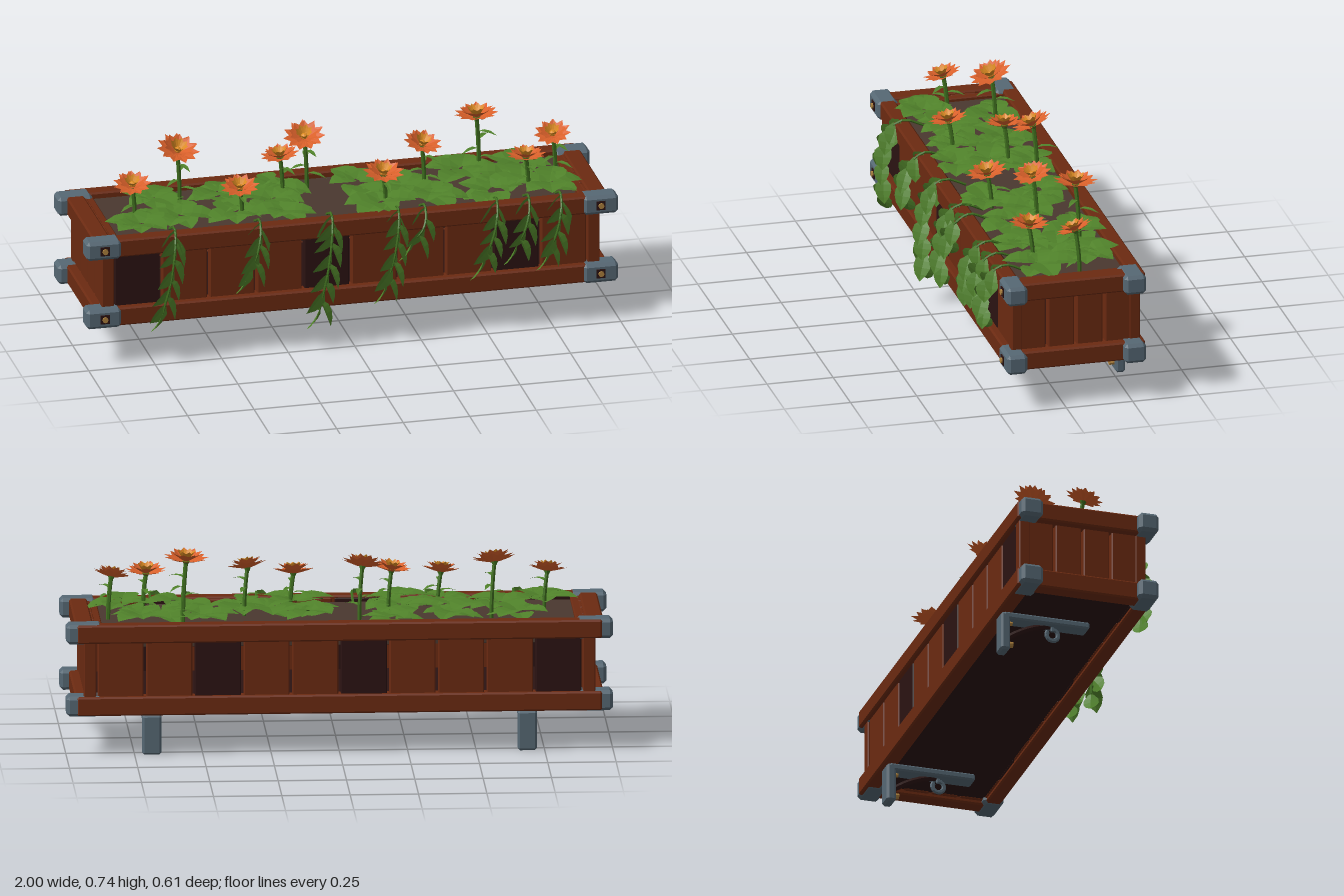
import * as THREE from 'three';
import { mergeGeometries } from 'three/addons/utils/BufferGeometryUtils.js';
import { ConvexGeometry } from 'three/addons/geometries/ConvexGeometry.js';

const V = (x, y, z) => new THREE.Vector3(x, y, z);

function material(name, color, open = false) {
  const m = new THREE.MeshStandardMaterial({ color, flatShading: true });
  m.name = name;
  if (open) m.side = THREE.DoubleSide;
  return m;
}

// Box between two corners with all edges cut at 45 degrees
function chamferBox(x0, x1, y0, y1, z0, z1, c) {
  const h = [(x1 - x0) / 2, (y1 - y0) / 2, (z1 - z0) / 2], pts = [];
  for (const sx of [-1, 1]) for (const sy of [-1, 1]) for (const sz of [-1, 1])
    for (let a = 0; a < 3; a++) {
      const k = h.map((v, i) => (i === a ? v : v - c));
      pts.push(V(sx * k[0], sy * k[1], sz * k[2]));
    }
  const g = new ConvexGeometry(pts);
  g.translate((x0 + x1) / 2, (y0 + y1) / 2, (z0 + z1) / 2);
  return g;
}

// Folded, curling leaf or petal added to a triangle list
function blade(out, o, dir, up, len, wid, profile, bend, fold) {
  const d = dir.clone().normalize();
  const side = d.clone().cross(up).normalize();
  const n = side.clone().cross(d);
  const rows = profile.map((p, i) => {
    const t = i / (profile.length - 1);
    const c = o.clone().addScaledVector(d, len * t).addScaledVector(n, -bend * len * t * t);
    const edge = (s) => c.clone().addScaledVector(side, s * wid * p / 2).addScaledVector(n, fold * wid * p);
    return [edge(-1), c, edge(1)];
  });
  const tri = (a, b, c) => {
    if (b.clone().sub(a).cross(c.clone().sub(a)).length() > 1e-9)
      for (const v of [a, b, c]) out.push(v.x, v.y, v.z);
  };
  for (let i = 0; i + 1 < rows.length; i++) for (let j = 0; j < 2; j++) {
    const a = rows[i], b = rows[i + 1];
    tri(a[j], a[j + 1], b[j]);
    tri(a[j + 1], b[j + 1], b[j]);
  }
}

function fromTriangles(list) {
  const g = new THREE.BufferGeometry();
  g.setAttribute('position', new THREE.Float32BufferAttribute(list, 3));
  g.computeVertexNormals();
  return g;
}

const PETAL = [0.35, 0.9, 1, 0];
const BROAD = [0.3, 0.95, 1, 0.7, 0];
const SLIM = [0.15, 0.9, 0.8, 0];

export function createModel() {
  const model = new THREE.Group();
  model.name = 'flowerBox';
  const wood = material('redWood', 0x6b2a11), dark = material('darkWood', 0x2b1312);
  const iron = material('iron', 0x566874), brass = material('brass', 0xb0833f);
  const soil = material('soil', 0x4a382f);
  const leaf = material('leafGreen', 0x50822a, true), stem = material('stemGreen', 0x40701f);
  const orange = material('orangePetal', 0xd9602a, true), amber = material('amberPetal', 0xde8c22, true);

  let seed = 7;
  const rnd = (a, b) => {
    seed = (seed * 16807) % 2147483647;
    return a + (b - a) * seed / 2147483647;
  };
  const add = (name, geo, mat, parent = model) => {
    const m = new THREE.Mesh(geo, mat);
    m.name = name;
    parent.add(m);
    return m;
  };
  const box = (name, mat, x0, x1, y0, y1, z0, z1, c = 0.006, parent = model) =>
    add(name, chamferBox(x0, x1, y0, y1, z0, z1, c), mat, parent);
  const bolt = (x, y, z, r, len, parent = model) => {
    const g = new THREE.CylinderGeometry(r, r, len, 8);
    g.rotateX(Math.PI / 2).translate(x, y, z);
    add('bolt', g, brass, parent);
  };

  // Long slats, some of them dark
  for (let i = 0; i < 10; i++) {
    const x = -0.89 + i * 0.178, y0 = 0.165, y1 = 0.48;
    box('frontSlat', [0, 4, 8].includes(i) ? dark : wood, x + 0.005, x + 0.173, y0, y1, 0.15, 0.185, 0.004);
    box('backSlat', [0, 4, 7].includes(i) ? dark : wood, x + 0.005, x + 0.173, y0, y1, -0.29, -0.255, 0.004);
  }

  // Rails, end slats, posts and iron corners
  for (const [y0, y1] of [[0.15, 0.22], [0.42, 0.488]]) {
    box('frontRail', wood, -0.96, 0.96, y0, y1, 0.155, 0.212);
    box('backRail', wood, -0.96, 0.96, y0, y1, -0.308, -0.25);
    for (const s of [-1, 1]) {
      const xs = (a, b) => (s > 0 ? [a, b] : [-b, -a]);
      box('endRail', wood, ...xs(0.9, 0.966), y0, y1, -0.27, 0.18);
      box('frontCorner', iron, ...xs(0.868, 1), y0 - 0.003, y1 + 0.002, 0.145, 0.222, 0.012);
      box('backCorner', iron, ...xs(0.868, 1), y0 - 0.003, y1 + 0.002, -0.304, -0.222, 0.012);
      const washer = new THREE.BoxGeometry(0.034, 0.034, 0.006);
      add('washer', washer.translate(s * 0.932, (y0 + y1) / 2, 0.223), dark);
      bolt(s * 0.932, (y0 + y1) / 2, 0.226, 0.011, 0.012);
    }
  }
  for (const s of [-1, 1]) {
    const xs = (a, b) => (s > 0 ? [a, b] : [-b, -a]);
    for (let i = 0; i < 4; i++) {
      const z = 0.163 - i * 0.1075;
      box('endSlat', wood, ...xs(0.89, 0.932), 0.165, 0.48, z - 0.1025, z - 0.005, 0.004);
    }
    box('endLedge', wood, ...xs(0.866, 0.9), 0.425, 0.478, -0.255, 0.155, 0.004);
    for (const z of [0.15, -0.295])
      box('cornerPost', wood, ...xs(0.89, 0.936), 0.165, 0.48, z, z + 0.04, 0.004);
  }
  box('floor', dark, -0.9, 0.9, 0.17, 0.215, -0.26, 0.16, 0.002);
  box('soilBed', soil, -0.87, 0.87, 0.395, 0.465, -0.256, 0.156, 0.002);

  // Wall brackets with curved brace and hook
  for (const x of [-0.687, 0.687]) {
    const g = new THREE.Group();
    g.name = 'bracket';
    model.add(g);
    box('bracketArm', iron, x - 0.035, x + 0.035, 0.124, 0.15, -0.285, 0.043, 0.006, g);
    box('wallPlate', iron, x - 0.035, x + 0.035, 0, 0.148, -0.296, -0.26, 0.008, g);
    const arc = new THREE.QuadraticBezierCurve3(V(x, 0.128, -0.1), V(x, 0.115, -0.19), V(x, 0.055, -0.268));
    add('brace', new THREE.TubeGeometry(arc, 8, 0.011, 6), dark, g);
    const ring = new THREE.TorusGeometry(0.022, 0.009, 6, 12, Math.PI * 1.7);
    ring.rotateZ(Math.PI * 0.5).rotateY(Math.PI / 2).translate(x, 0.094, -0.09);
    add('hook', ring, iron, g);
    const shank = new THREE.CylinderGeometry(0.008, 0.008, 0.025, 6);
    add('hookShank', shank.translate(x, 0.121, -0.09), iron, g);
    bolt(x, 0.033, -0.252, 0.012, 0.02, g);
    bolt(x, 0.118, -0.252, 0.008, 0.016, g);
  }

  // Ground foliage in rosettes
  const ground = [];
  const clumps = [[-0.76, 0.08], [-0.66, -0.15], [-0.6, 0.03], [-0.42, -0.14], [-0.4, 0.06], [-0.24, -0.03],
    [-0.22, 0.09], [-0.2, -0.19], [0.1, -0.13], [0.14, 0.07], [0.25, -0.05], [0.34, 0.04], [0.5, -0.16],
    [0.56, 0.06], [0.64, -0.06], [0.72, -0.15], [0.78, 0.05]];
  for (const [x, z] of clumps) {
    const turn = rnd(0, 6);
    for (let i = 0; i < 7; i++) {
      const a = turn + i * 0.9 + rnd(-0.2, 0.2);
      let len = rnd(0.09, 0.135);
      const dx = Math.cos(a), dz = Math.sin(a);
      if (dz < 0) len = Math.min(len, Math.max(0.04, (z + 0.258) / -dz));
      else len = Math.min(len, Math.max(0.05, (0.17 - z) / (dz + 0.01)));
      blade(ground, V(x + dx * 0.01, 0.475 + rnd(0, 0.025), z + dz * 0.01),
        V(dx, rnd(0.15, 0.4), dz), V(0, 1, 0), len, Math.min(0.115, len * 0.9 + 0.01), BROAD, 0.3, 0.08);
    }
  }
  add('groundLeaves', fromTriangles(ground), leaf);

  // Vines trailing over the front rail: x, lowest y
  const vines = [[-0.69, 0.1], [-0.37, 0.22], [-0.1, 0.06], [0.15, 0.13], [0.25, 0.3], [0.52, 0.2], [0.64, 0.24], [0.76, 0.2]];
  for (const [x, low] of vines) {
    const g = new THREE.Group();
    g.name = 'vine';
    model.add(g);
    const end = low + 0.09;
    const path = new THREE.CatmullRomCurve3([V(x + 0.03, 0.47, 0.1), V(x + 0.03, 0.5, 0.18), V(x + 0.02, 0.46, 0.235),
      V(x, (0.46 + end) / 2, 0.25), V(x - 0.03, end, 0.235)]);
    add('vineStem', new THREE.TubeGeometry(path, 14, 0.005, 5), stem, g);
    const list = [], n = Math.round((0.5 - end) / 0.032) + 1;
    for (let i = 0; i <= n; i++) {
      const s = i % 2 ? 1 : -1, last = i === n;
      const p = path.getPoint(0.3 + 0.7 * i / n);
      const dir = last ? V(-0.35, -1, -0.1) : V(s * 0.55 - 0.1, -0.85, rnd(0.1, 0.5));
      blade(list, p, dir, V(s > 0 ? 0.8 : 0.9, 0.45, 0.45), rnd(0.08, 0.1), rnd(0.055, 0.07), BROAD, 0.2, 0.12);
    }
    add('vineLeaves', fromTriangles(list), leaf, g);
  }

  // Flowers: x, height, z, radius, forward tilt, sideways tilt
  const flowers = [[-0.775, 0.605, 0.0, 0.068, 0.25, 0.1], [-0.575, 0.67, -0.13, 0.078, 0.4, -0.1],
    [-0.39, 0.588, 0.08, 0.07, 0.15, 0.1], [-0.2, 0.63, -0.08, 0.07, -0.05, 0.15], [-0.09, 0.665, -0.16, 0.075, 0.35, 0.15],
    [0.15, 0.59, 0.075, 0.075, 0.2, 0], [0.325, 0.64, -0.05, 0.07, 0.3, -0.15], [0.555, 0.688, -0.15, 0.08, -0.05, 0.05],
    [0.69, 0.598, 0.06, 0.072, -0.05, 0], [0.825, 0.62, -0.08, 0.066, 0.3, 0.2]];
  const rings = [['outerPetals', orange, 11, 1, 0.2], ['middlePetals', orange, 9, 0.82, 0.5], ['innerPetals', amber, 8, 0.58, 0.85]];
  for (const [x, y, z, r, tilt, lean] of flowers) {
    const g = new THREE.Group();
    g.name = 'flower';
    model.add(g);
    const path = new THREE.QuadraticBezierCurve3(V(x + 0.012, 0.46, z - 0.012), V(x + 0.012, (y + 0.46) / 2, z - 0.012), V(x, y, z));
    add('flowerStem', new THREE.TubeGeometry(path, 5, 0.008, 6), stem, g);
    const leaves = [];
    for (let i = 0; i < 4; i++) {
      const a = rnd(0, 1) + i * 2.3;
      blade(leaves, path.getPoint(0.3 + 0.15 * i), V(Math.cos(a), 0.5, Math.sin(a)), V(0, 1, 0),
        rnd(0.06, 0.08), 0.024, SLIM, 0.55, 0.12);
    }
    add('stemLeaves', fromTriangles(leaves), leaf, g);
    const head = new THREE.Group();
    head.name = 'bloom';
    head.position.set(x, y, z);
    head.rotation.set(tilt, rnd(0, 0.5), lean);
    g.add(head);
    rings.forEach(([name, mat, n, scale, rise], k) => {
      const list = [];
      for (let i = 0; i < n; i++) {
        const a = (i + k * 0.5) / n * Math.PI * 2;
        blade(list, V(Math.cos(a) * 0.006, 0.004 * k, Math.sin(a) * 0.006),
          V(Math.cos(a) * Math.cos(rise), Math.sin(rise), Math.sin(a) * Math.cos(rise)), V(0, 1, 0),
          r * scale, r * 0.42 * (k === 2 ? 0.8 : 1), PETAL, -0.08, 0.1);
      }
      add(name, fromTriangles(list), mat, head);
    });
    const heart = new THREE.SphereGeometry(0.014, 7, 4).scale(1, 0.8, 1).translate(0, 0.012, 0);
    const calyx = new THREE.CylinderGeometry(0.014, 0.007, 0.014, 7).translate(0, -0.003, 0);
    add('flowerHeart', heart, amber, head);
    add('calyx', mergeGeometries([calyx]), stem, head);
  }
  return model;
}
